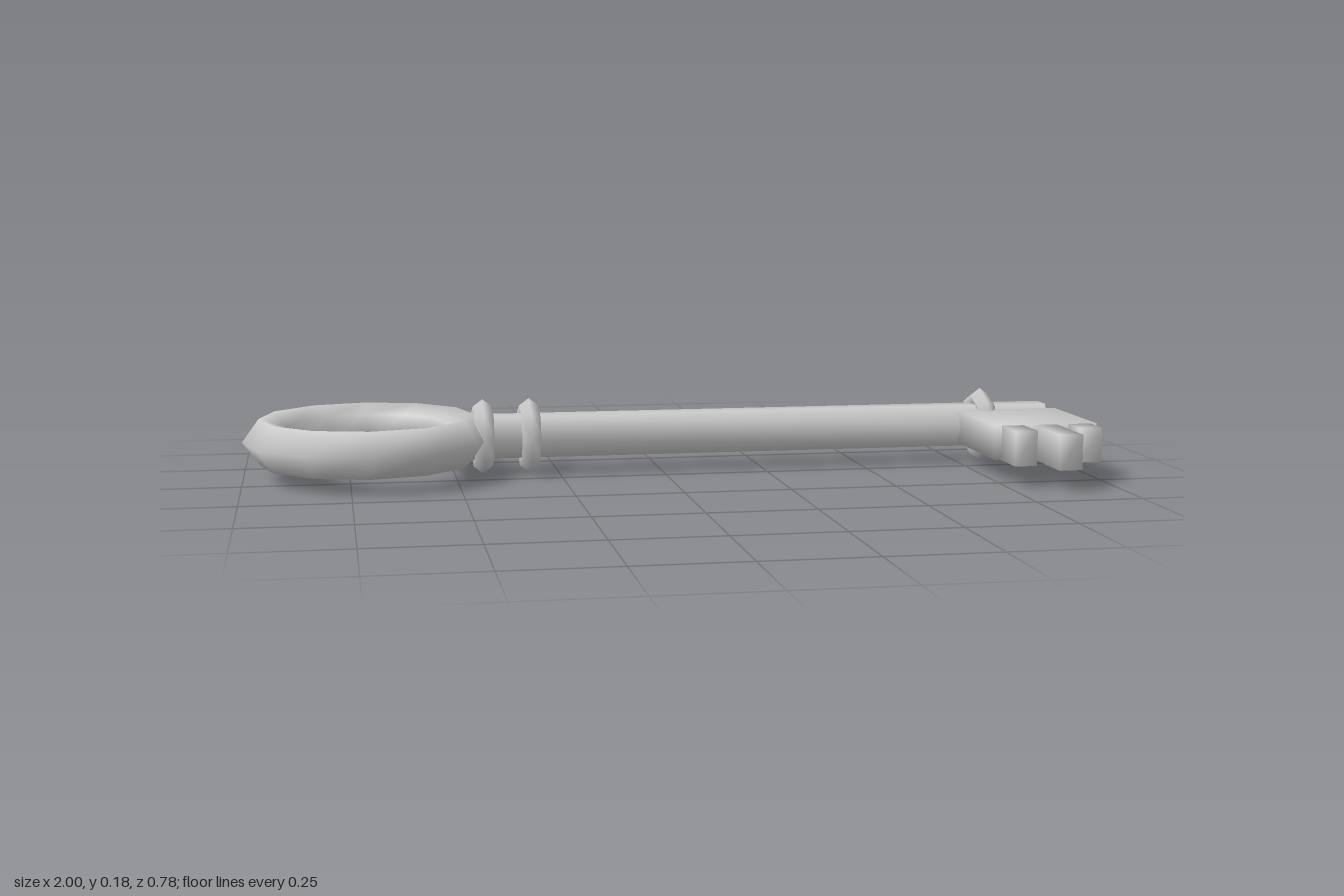
import * as THREE from 'three';
import { mergeVertices } from 'three/addons/utils/BufferGeometryUtils.js';

const AXIS_Y = 0.09;   // height of the shaft's centre line
const AXIS_Z = -0.097; // depth of the shaft's centre line

// Weld the corners so that shading runs smoothly over the low-poly edges
function soften(geometry) {
  geometry.deleteAttribute('normal');
  geometry.deleteAttribute('uv');
  const welded = mergeVertices(geometry, 1e-4);
  welded.computeVertexNormals();
  return welded;
}

export function createModel() {
  const key = new THREE.Group();
  key.name = 'key';
  const metal = new THREE.MeshStandardMaterial({ color: 0xcccccc });
  metal.name = 'grey metal';

  function add(name, geometry, x, y, z) {
    const mesh = new THREE.Mesh(soften(geometry), metal);
    mesh.name = name;
    mesh.position.set(x, y, z);
    key.add(mesh);
  }

  // Bow: flat-lying ring with a five-sided section
  add('bowRing', new THREE.TorusGeometry(0.236, 0.058, 5, 12).rotateX(Math.PI / 2),
    -0.706, AXIS_Y, AXIS_Z);

  // Shaft: six-sided rod along x
  const start = -0.47, end = 0.98;
  add('shaft', new THREE.CylinderGeometry(0.058, 0.058, end - start, 6).rotateZ(-Math.PI / 2),
    (start + end) / 2, AXIS_Y, AXIS_Z);

  // Collars around the shaft
  [-0.432, -0.32, 0.817].forEach((x, i) => {
    add('collar' + (i + 1), new THREE.TorusGeometry(0.066, 0.024, 5, 8).rotateY(Math.PI / 2),
      x, AXIS_Y, AXIS_Z);
  });

  // Bit: plate and three teeth, each given as x range and z range
  const slab = (name, x0, x1, z0, z1) =>
    add(name, new THREE.BoxGeometry(x1 - x0, 0.082, z1 - z0),
      (x0 + x1) / 2, AXIS_Y, (z0 + z1) / 2);
  slab('bitPlate', 0.75, 1.0, -0.055, 0.22);
  [[0.765, 0.818, 0.315], [0.845, 0.9, 0.388], [0.93, 0.985, 0.29]].forEach(([x0, x1, z1], i) => {
    slab('tooth' + (i + 1), x0, x1, 0.22, z1);
  });

  return key;
}
